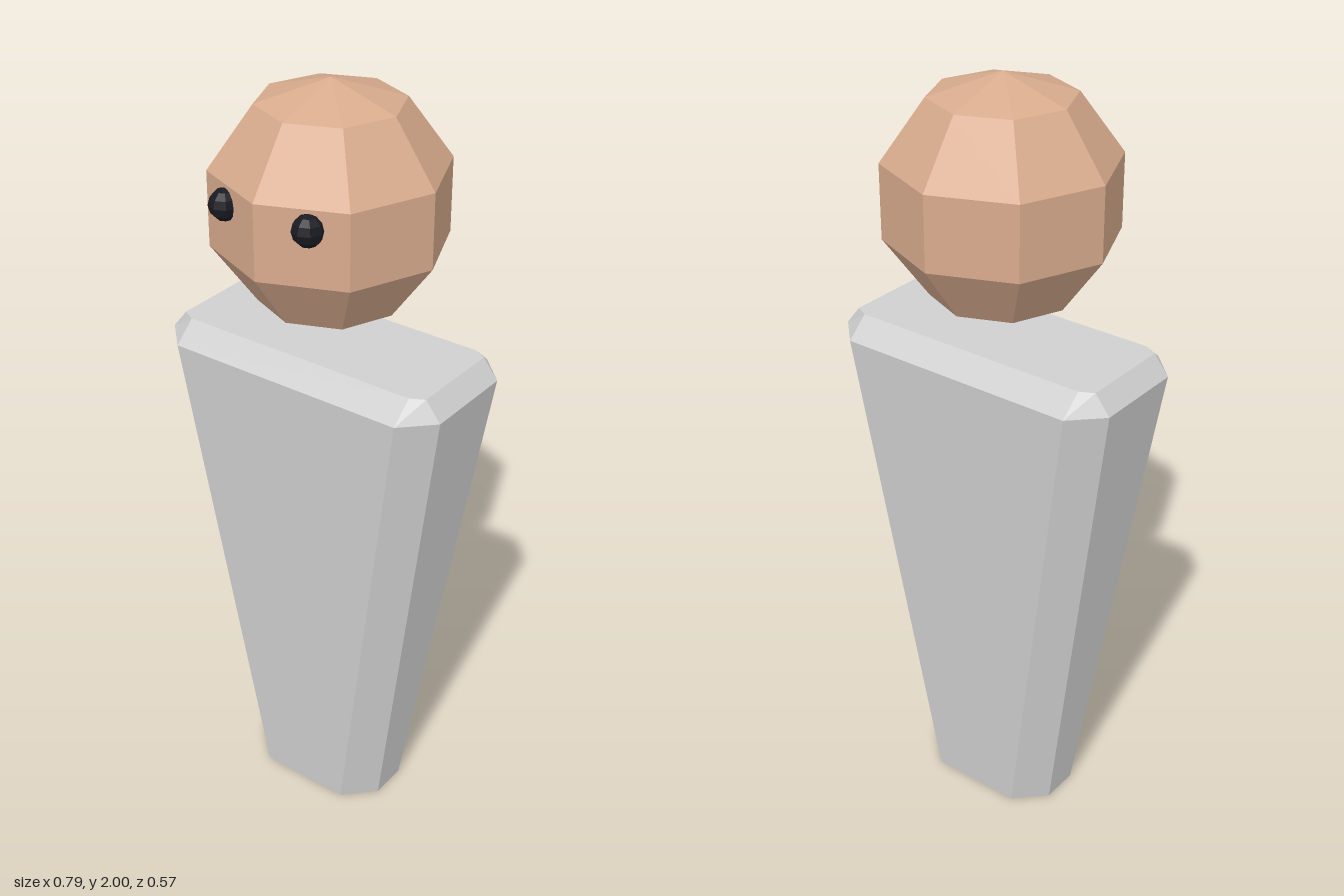
import * as THREE from 'three';

// Unshared vertices give every facet its own flat normal
function faceted(geometry) {
  const flat = geometry.index ? geometry.toNonIndexed() : geometry;
  flat.computeVertexNormals();
  return flat;
}

// Chamfered rectangle: outer half sizes x, z and half lengths of the straight sides fx, fz
function octagon({ y, x, z, fx, fz }) {
  return [[-fx, z], [fx, z], [x, fz], [x, -fz], [fx, -z], [-fx, -z], [-x, -fz], [-x, fz]]
    .map(([px, pz]) => [px, y, pz]);
}

// Closed solid through a stack of equal-sized rings, bottom to top
function loft(rings) {
  const positions = [];
  const add = (...points) => points.forEach((p) => positions.push(...p));
  const n = rings[0].length;
  const bottom = rings[0];
  const top = rings[rings.length - 1];
  for (let i = 0; i < n; i++) {
    const j = (i + 1) % n;
    for (let r = 0; r < rings.length - 1; r++) {
      const lo = rings[r];
      const hi = rings[r + 1];
      add(lo[i], lo[j], hi[j], lo[i], hi[j], hi[i]);
    }
    add([0, bottom[0][1], 0], bottom[j], bottom[i]);
    add([0, top[0][1], 0], top[i], top[j]);
  }
  const geometry = new THREE.BufferGeometry();
  geometry.setAttribute('position', new THREE.Float32BufferAttribute(positions, 3));
  return faceted(geometry);
}

export function createModel() {
  const model = new THREE.Group();
  model.name = 'figure';

  const material = (name, color) => {
    const m = new THREE.MeshStandardMaterial({ color });
    m.name = name;
    return m;
  };
  const grey = material('light grey', 0xcfcfcf);
  const skin = material('skin', 0xd8ab8d);
  const black = material('eye black', 0x1a1a22);

  const addMesh = (name, geometry, mat) => {
    const mesh = new THREE.Mesh(geometry, mat);
    mesh.name = name;
    model.add(mesh);
    return mesh;
  };

  // Tapered body with chamfered corners and a bevelled shoulder edge
  addMesh('body', loft([
    octagon({ y: 0, x: 0.2, z: 0.125, fx: 0.125, fz: 0.05 }),
    octagon({ y: 1.31, x: 0.397, z: 0.197, fx: 0.322, fz: 0.122 }),
    octagon({ y: 1.36, x: 0.357, z: 0.14, fx: 0.322, fz: 0.122 }),
  ]), grey);

  // Eight-sided floating head with a flat underside
  const profile = [[0, 1.465], [0.175, 1.465], [0.283, 1.613], [0.283, 1.798], [0.175, 1.947], [0, 2]]
    .map(([r, y]) => new THREE.Vector2(r, y));
  addMesh('head', faceted(new THREE.LatheGeometry(profile, 8)), skin);

  // Bead eyes
  for (const side of [1, -1]) {
    const eye = addMesh(side > 0 ? 'leftEye' : 'rightEye',
      faceted(new THREE.SphereGeometry(0.038, 8, 6)), black);
    eye.position.set(side * 0.116, 1.752, 0.239);
  }

  return model;
}
